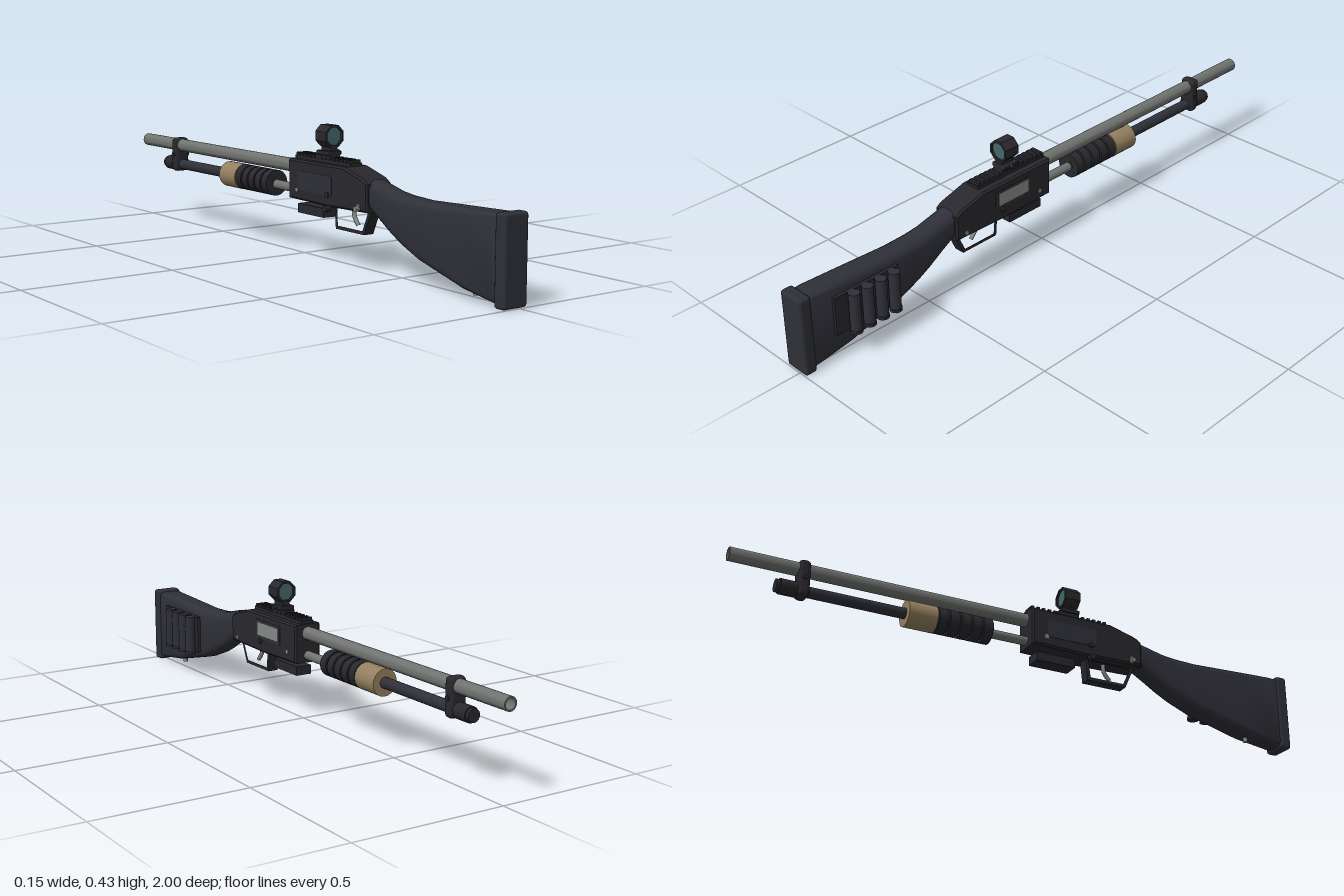
import * as THREE from 'three';
import { toCreasedNormals } from 'three/addons/utils/BufferGeometryUtils.js';
import { RoundedBoxGeometry } from 'three/addons/geometries/RoundedBoxGeometry.js';

export function createModel() {
  const model = new THREE.Group();
  model.name = 'pumpActionGun';
  const body = new THREE.Group();
  body.name = 'body';
  body.position.x = -0.014; // symmetry plane of the main body
  model.add(body);

  const mat = (name, color, side = THREE.FrontSide) => {
    const m = new THREE.MeshStandardMaterial({ color, side });
    m.name = name;
    return m;
  };
  const polymer = mat('darkPolymer', 0x2f3038);
  const black = mat('blackMetal', 0x28282d);
  const steel = mat('barrelSteel', 0x70736f);
  const bright = mat('boltSteel', 0x868885);
  const tan = mat('tanGrip', 0x94805f);
  const glass = mat('lensGlass', 0x44686b, THREE.DoubleSide);

  const add = (name, geo, m, x = 0, y = 0, z = 0) => {
    const mesh = new THREE.Mesh(geo, m);
    mesh.name = name;
    mesh.position.set(x, y, z);
    body.add(mesh);
    return mesh;
  };
  const box = (name, m, w, h, d, x, y, z) => add(name, new THREE.BoxGeometry(w, h, d), m, x, y, z);
  // cylinder along z between two z values
  const rod = (name, m, r, z0, z1, y, x = 0, seg = 20) =>
    add(name, new THREE.CylinderGeometry(r, r, Math.abs(z1 - z0), seg).rotateX(Math.PI / 2), m, x, y, (z0 + z1) / 2);
  // cylinder along x
  const pin = (name, m, r, len, x, y, z) =>
    add(name, new THREE.CylinderGeometry(r, r, len, 12).rotateZ(Math.PI / 2), m, x, y, z);
  // side profile in (z, y), extruded across x
  const profile = (pts, width, bevel = 0, hole = null) => {
    const vec = (p) => p.map(([z, y]) => new THREE.Vector2(z, y));
    const shape = new THREE.Shape(vec(pts));
    if (hole) shape.holes.push(new THREE.Path(vec(hole)));
    const depth = width - 2 * bevel;
    return new THREE.ExtrudeGeometry(shape, {
      depth, bevelEnabled: bevel > 0, bevelSize: bevel, bevelThickness: bevel, bevelOffset: -bevel, bevelSegments: 1,
    }).translate(0, 0, -depth / 2).rotateY(-Math.PI / 2);
  };
  // loft of rounded rectangles: [z, bottom, top, half width, corner radius]
  const loft = (sections) => {
    const pos = [], idx = [], steps = 5, n = 4 * steps;
    for (const [z, y0, y1, w, r] of sections) {
      for (let c = 0; c < 4; c++) for (let s = 0; s < steps; s++) {
        const a = (c + s / (steps - 1)) * Math.PI / 2;
        const cx = (c === 0 || c === 3 ? 1 : -1) * (w - r);
        const cy = c < 2 ? y1 - r : y0 + r;
        pos.push(cx + r * Math.cos(a), cy + r * Math.sin(a), z);
      }
    }
    const last = (sections.length - 1) * n;
    for (let i = 0; i < last; i += n) for (let j = 0; j < n; j++) {
      const a = i + j, b = i + (j + 1) % n;
      idx.push(a, a + n, b, b, a + n, b + n);
    }
    for (let j = 1; j < n - 1; j++) idx.push(0, j, j + 1, last, last + j + 1, last + j);
    const g = new THREE.BufferGeometry();
    g.setAttribute('position', new THREE.Float32BufferAttribute(pos, 3));
    g.setIndex(idx);
    return toCreasedNormals(g, 0.7);
  };

  // Stock and butt pad
  add('stock', loft([
    [0.962, 0.008, 0.258, 0.039, 0.016],
    [0.94, 0.012, 0.26, 0.042, 0.018],
    [0.82, 0.028, 0.257, 0.042, 0.022],
    [0.63, 0.075, 0.252, 0.041, 0.028],
    [0.55, 0.105, 0.257, 0.04, 0.032],
    [0.5, 0.13, 0.264, 0.039, 0.033],
    [0.45, 0.16, 0.277, 0.038, 0.033],
    [0.4, 0.19, 0.288, 0.038, 0.032],
  ]), polymer);
  add('buttPad', new RoundedBoxGeometry(0.09, 0.265, 0.042, 2, 0.01), polymer, 0, 0.1325, 0.979);
  add('slingStud', new THREE.CylinderGeometry(0.008, 0.008, 0.02, 10), bright, 0, 0.021, 0.84);

  // Spare shells on the stock
  box('shellPlate', black, 0.012, 0.13, 0.24, 0.046, 0.157, 0.765);
  for (let i = 0; i < 4; i++) {
    const z = 0.675 + i * 0.05;
    add('shell', new THREE.CylinderGeometry(0.018, 0.018, 0.13, 14), polymer, 0.067, 0.157, z);
    add('shellRim', new THREE.CylinderGeometry(0.02, 0.02, 0.01, 14), black, 0.067, 0.09, z);
  }

  // Receiver
  add('receiver', profile([
    [0.405, 0.188], [0.405, 0.275], [0.385, 0.288], [0.29, 0.315], [-0.005, 0.315], [-0.005, 0.187], [0.2, 0.183],
  ], 0.096, 0.006), black);
  box('portFrame', polymer, 0.004, 0.062, 0.15, 0.048, 0.262, 0.165);
  box('ejectionPort', bright, 0.004, 0.044, 0.128, 0.0495, 0.263, 0.163);
  box('leftSidePanel', polymer, 0.004, 0.06, 0.18, -0.048, 0.25, 0.14);
  for (const s of [-1, 1]) {
    pin('frontPin', bright, 0.008, 0.004, s * 0.049, 0.218, 0.045);
    pin('rearPin', bright, 0.008, 0.004, s * 0.049, 0.205, 0.365);
    pin('crossBolt', black, 0.009, 0.008, s * 0.051, 0.222, 0.21);
  }
  pin('safetyButton', bright, 0.008, 0.02, -0.052, 0.198, 0.365);
  pin('slideRelease', black, 0.01, 0.02, -0.052, 0.178, 0.21);

  // Trigger group and shell lifter
  add('triggerGuard', profile(
    [[0.39, 0.19], [0.355, 0.112], [0.212, 0.112], [0.205, 0.19]], 0.036, 0,
    [[0.374, 0.182], [0.347, 0.123], [0.223, 0.123], [0.217, 0.182]]), black);
  const triggerPath = new THREE.CatmullRomCurve3([
    new THREE.Vector3(0, 0.188, 0.282), new THREE.Vector3(0, 0.16, 0.284), new THREE.Vector3(0, 0.132, 0.305),
  ]);
  add('trigger', new THREE.TubeGeometry(triggerPath, 8, 0.007, 8), bright);
  box('shellLifter', black, 0.055, 0.03, 0.14, 0, 0.155, 0.09);

  // Top rail with teeth
  box('railBase', black, 0.046, 0.012, 0.29, 0, 0.319, 0.145);
  for (let i = 0; i < 14; i++) box('railTooth', black, 0.042, 0.01, 0.011, 0, 0.329, 0.01 + i * 0.0208);

  // Sight on its mount
  box('sightFoot', black, 0.04, 0.016, 0.075, 0, 0.332, 0.145);
  add('sightClamp', new RoundedBoxGeometry(0.052, 0.014, 0.065, 1, 0.003), black, 0, 0.345, 0.15);
  pin('clampKnob', black, 0.007, 0.016, 0.031, 0.345, 0.15);
  box('sightNeck', black, 0.027, 0.02, 0.05, 0, 0.358, 0.153);
  const octagon = (r) => Array.from({ length: 8 }, (_, i) => {
    const a = (i + 0.5) * Math.PI / 4;
    return new THREE.Vector2(r * Math.cos(a), r * Math.sin(a));
  });
  const ring = new THREE.Shape(octagon(0.0375));
  ring.holes.push(new THREE.Path(octagon(0.03)));
  add('sightHousing', new THREE.ExtrudeGeometry(ring, { depth: 0.056, bevelEnabled: false }), black, 0, 0.398, 0.125);
  for (const z of [0.132, 0.174]) add('sightLens', new THREE.ShapeGeometry(new THREE.Shape(octagon(0.0305))), glass, 0, 0.398, z);

  // Barrel with an open muzzle
  const tube = [[0, 0], [0.022, 0], [0.022, 1], [0.017, 1], [0.017, 0.9], [0, 0.9]];
  const barrel = new THREE.LatheGeometry(tube.map(([r, y]) => new THREE.Vector2(r, y)), 20);
  add('barrel', toCreasedNormals(barrel, 0.6).rotateX(-Math.PI / 2), steel, 0, 0.285, 0);

  // Magazine tube, pump and end cap
  rod('actionTube', steel, 0.015, 0.01, -0.16, 0.211);
  rod('magazineTube', polymer, 0.018, -0.14, -0.8, 0.215);
  rod('pumpCore', black, 0.034, -0.145, -0.335, 0.215);
  for (let i = 0; i < 5; i++) rod('pumpRidge', black, 0.043, -0.141 - i * 0.039, -0.172 - i * 0.039, 0.215);
  rod('pumpGrip', tan, 0.0435, -0.332, -0.43, 0.215);
  rod('magazineCap', black, 0.025, -0.785, -0.838, 0.215);
  rod('capTip', black, 0.021, -0.836, -0.85, 0.215);

  // Clamp joining barrel and magazine tube
  add('barrelClamp', new RoundedBoxGeometry(0.056, 0.122, 0.038, 2, 0.014), black, 0, 0.251, -0.766);
  pin('clampScrew', black, 0.008, 0.064, 0, 0.25, -0.766);

  return model;
}
